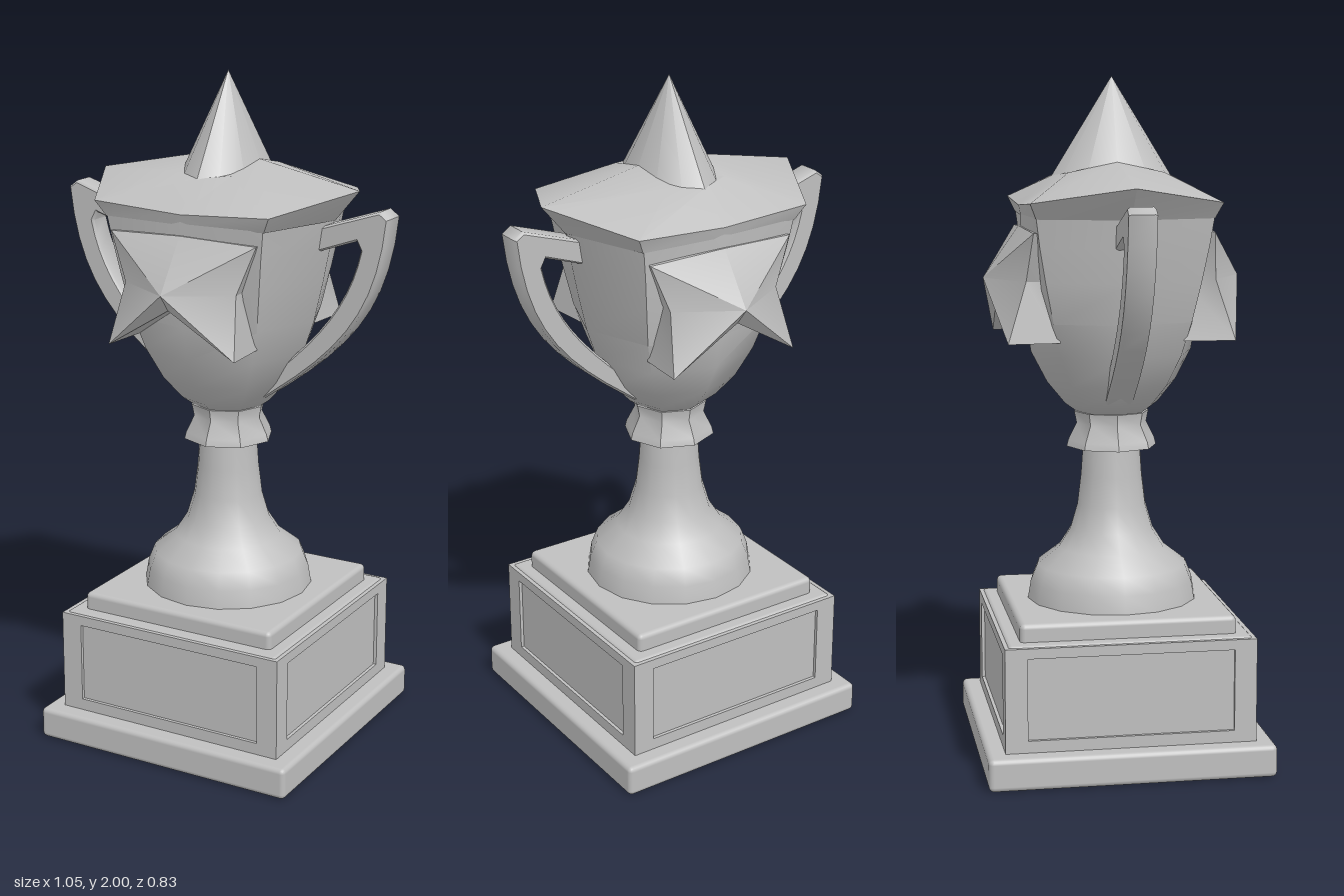
import * as THREE from 'three';
import { toCreasedNormals } from 'three/addons/utils/BufferGeometryUtils.js';
import { RoundedBoxGeometry } from 'three/addons/geometries/RoundedBoxGeometry.js';

const metal = new THREE.MeshStandardMaterial({ color: 0xbfbfbf });
metal.name = 'grey metal';

function add(parent, name, geometry, crease = 0.65) {
  const mesh = new THREE.Mesh(crease ? toCreasedNormals(geometry, crease) : geometry, metal);
  mesh.name = name;
  parent.add(mesh);
  return mesh;
}

// Skins a stack of rings (each counterclockwise about the stacking direction) and caps the ends
function loft(rings) {
  const n = rings[0].length, out = [];
  const tri = (...p) => p.forEach((v) => out.push(...v));
  const centre = (r) => [0, 1, 2].map((k) => r.reduce((s, p) => s + p[k], 0) / n);
  const first = rings[0], last = rings[rings.length - 1];
  const c0 = centre(first), c1 = centre(last);
  for (let j = 0; j < n; j++) {
    const k = (j + 1) % n;
    for (let i = 0; i < rings.length - 1; i++) {
      const a = rings[i], b = rings[i + 1];
      tri(a[j], a[k], b[k]);
      tri(a[j], b[k], b[j]);
    }
    tri(first[k], first[j], c0);
    tri(last[j], last[k], c1);
  }
  const g = new THREE.BufferGeometry();
  g.setAttribute('position', new THREE.Float32BufferAttribute(out, 3));
  return g;
}

// Eight-point ring: side tips, four corners, and front and back middles
function octRing(tipX, tipY, cornerX, cornerY, cornerZ, midY, midZ) {
  return [
    [tipX, tipY, 0], [cornerX, cornerY, -cornerZ], [0, midY, -midZ], [-cornerX, cornerY, -cornerZ],
    [-tipX, tipY, 0], [-cornerX, cornerY, cornerZ], [0, midY, midZ], [cornerX, cornerY, cornerZ],
  ];
}

function lathe(points, sides) {
  return new THREE.LatheGeometry(points.map(([r, y]) => new THREE.Vector2(r, y)), sides);
}

export function createModel() {
  const model = new THREE.Group();
  model.name = 'trophy';

  // Square plinth
  const slab = (name, w, y0, y1, r) =>
    add(model, name, new RoundedBoxGeometry(w, y1 - y0, w, 2, r), 0).position.set(0, (y0 + y1) / 2, 0);
  slab('baseSlab', 0.835, 0, 0.095, 0.015);
  slab('plinthCore', 0.71, 0.08, 0.405, 0.012);
  slab('topSlab', 0.63, 0.39, 0.457, 0.015);

  // Raised frame around the panel on each side of the plinth
  const frame = new THREE.Shape();
  frame.moveTo(-0.365, 0.09).lineTo(0.365, 0.09).lineTo(0.365, 0.4).lineTo(-0.365, 0.4).closePath();
  const opening = new THREE.Path();
  opening.moveTo(-0.3, 0.13).lineTo(-0.3, 0.37).lineTo(0.3, 0.37).lineTo(0.3, 0.13).closePath();
  frame.holes.push(opening);
  for (let i = 0; i < 4; i++) {
    const g = new THREE.ExtrudeGeometry(frame, { depth: 0.02, bevelEnabled: false });
    g.translate(0, 0, 0.345);
    add(model, 'panelFrame', g).rotation.y = (i * Math.PI) / 2;
  }

  // Foot, stem and collar
  add(model, 'stem', lathe([
    [0, 0.45], [0.255, 0.45], [0.245, 0.51], [0.225, 0.56], [0.16, 0.61], [0.125, 0.665],
    [0.103, 0.74], [0.092, 0.83], [0.085, 0.93], [0, 0.93],
  ], 16));
  add(model, 'collar', lathe([
    [0, 0.915], [0.135, 0.915], [0.13, 0.935], [0.105, 0.985], [0.112, 1.02], [0, 1.03],
  ], 8));

  // Bowl: full and round at the bottom, turning hexagonal towards the rim
  const bowlRings = [
    [1.012, 0.095, 0.067, 0.067, 0.095], [1.045, 0.14, 0.1, 0.1, 0.14], [1.11, 0.197, 0.14, 0.14, 0.193],
    [1.2, 0.248, 0.177, 0.175, 0.24], [1.3, 0.282, 0.205, 0.2, 0.257],
    [1.42, 0.31, 0.225, 0.225, 0.265], [1.52, 0.33, 0.24, 0.243, 0.268], [1.62, 0.345, 0.255, 0.257, 0.27],
  ];
  add(model, 'bowl', loft(bowlRings.map(([y, tip, cx, cz, mid]) => octRing(tip, y, cx, y, cz, y, mid))), 0.9);

  // Hexagonal lid with a raised ridge, and the spike on it
  add(model, 'lid', loft([
    octRing(0.345, 1.6, 0.255, 1.6, 0.255, 1.6, 0.268),
    octRing(0.42, 1.69, 0.28, 1.645, 0.275, 1.63, 0.274),
    octRing(0.1, 1.755, 0.09, 1.725, 0.14, 1.715, 0.175),
  ]), 0.5);
  const spike = new THREE.ConeGeometry(0.14, 0.335, 12);
  spike.scale(1, 1, 1.48);
  add(model, 'spike', spike).position.y = 1.8325;

  // Lower star arms with a central ridge, front and back
  const outline = [
    [0, 1.37, 0.34], [0.205, 1.245, 0.33], [0.18, 1.42, 0.275],
    [0.235, 1.56, 0.26], [0, 1.57, 0.275],
    [-0.235, 1.56, 0.26], [-0.18, 1.42, 0.275], [-0.205, 1.245, 0.33],
  ];
  const starGeometry = loft([
    outline.map(([x, y]) => [x * 0.95, y, 0.18]),
    outline,
    outline.map(() => [0, 1.42, 0.38]),
  ]);

  // Handles: a curved strap from rim to bowl foot
  const strap = new THREE.Shape();
  strap.moveTo(0.3, 1.58);
  strap.lineTo(0.5, 1.645).lineTo(0.527, 1.625);
  strap.bezierCurveTo(0.5, 1.34, 0.38, 1.22, 0.1, 1.03);
  strap.lineTo(0.12, 1.1);
  strap.bezierCurveTo(0.33, 1.27, 0.41, 1.38, 0.443, 1.53);
  strap.lineTo(0.43, 1.555).lineTo(0.3, 1.51);
  strap.closePath();
  const handleGeometry = new THREE.ExtrudeGeometry(strap, {
    depth: 0.064, bevelEnabled: true, bevelThickness: 0.008, bevelSize: 0.006,
    bevelOffset: -0.006, bevelSegments: 1, curveSegments: 10,
  });
  handleGeometry.translate(0, 0, -0.032);

  for (const [turn, star, handle] of [[0, 'frontStar', 'leftHandle'], [Math.PI, 'backStar', 'rightHandle']]) {
    add(model, star, starGeometry, 0.5).rotation.y = turn;
    add(model, handle, handleGeometry, 0.8).rotation.y = turn;
  }
  return model;
}
